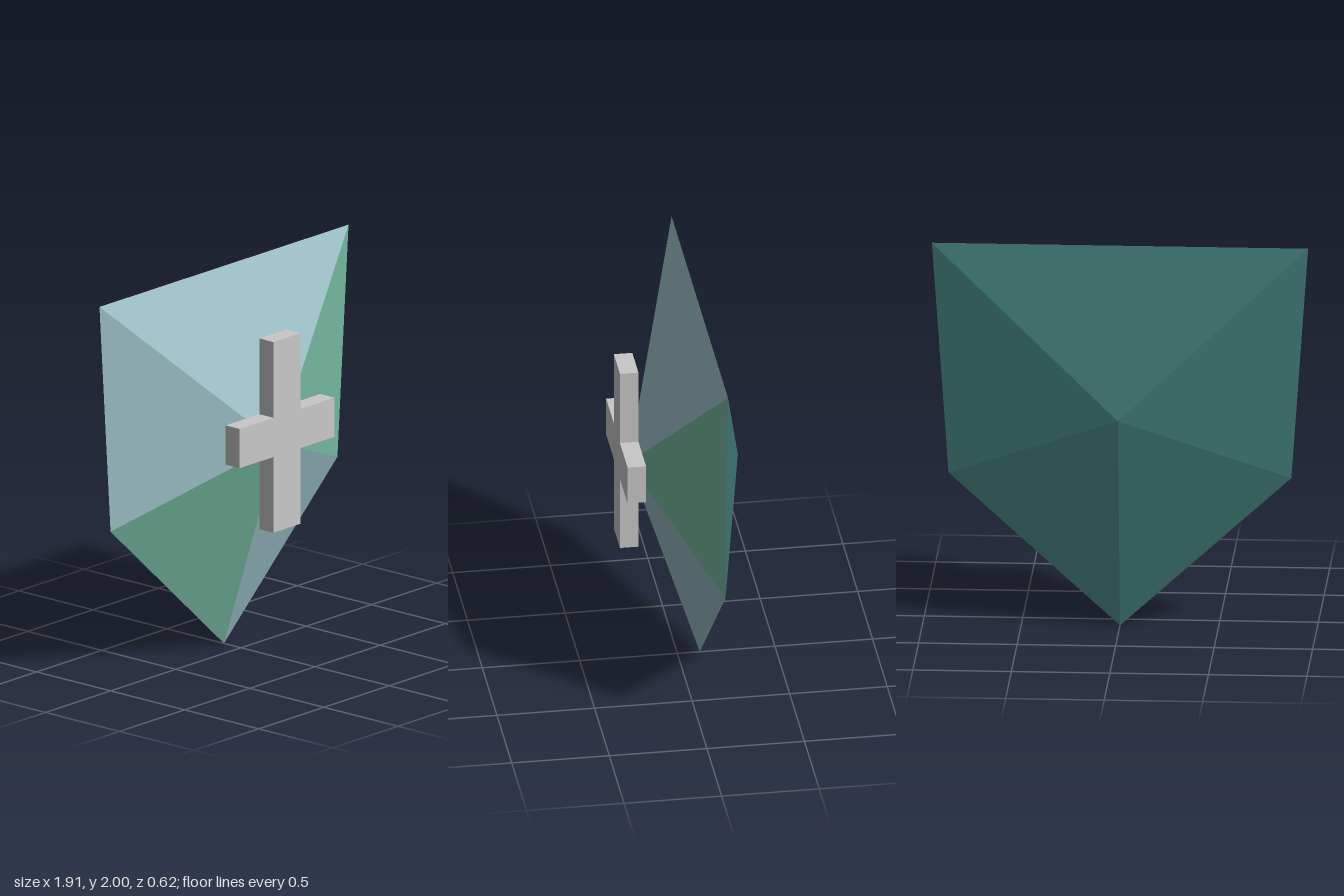
import * as THREE from 'three';

const material = (name, color) => {
  const m = new THREE.MeshStandardMaterial({ color });
  m.name = name;
  return m;
};

// Rim of the shield, counter-clockwise seen from the front
const RIM = [[-0.955, 2], [-0.87, 0.79], [0, 0], [0.87, 0.79], [0.955, 2]];
const RIM_Z = -0.115;
const APEX_Y = 1.13;

// Triangular facet from one rim edge to a central apex
function facet(name, index, apexZ, mat) {
  const a = [...RIM[index], RIM_Z];
  const b = [...RIM[(index + 1) % RIM.length], RIM_Z];
  const apex = [0, APEX_Y, apexZ];
  const corners = apexZ > RIM_Z ? [a, b, apex] : [b, a, apex];
  const geometry = new THREE.BufferGeometry();
  geometry.setAttribute('position', new THREE.Float32BufferAttribute(corners.flat(), 3));
  geometry.computeVertexNormals();
  const mesh = new THREE.Mesh(geometry, mat);
  mesh.name = name;
  return mesh;
}

export function createModel() {
  const paleBlue = material('paleBlue', 0x9bc0c6);
  const green = material('green', 0x76bca2);
  const darkTeal = material('darkTeal', 0x3f7a76);
  const lightGrey = material('lightGrey', 0xc8c8c8);

  const model = new THREE.Group();
  model.name = 'shield';

  // Faceted front and back of the shield
  const front = new THREE.Group();
  front.name = 'shieldFront';
  const back = new THREE.Group();
  back.name = 'shieldBack';
  const names = ['RightFacet', 'LowerRightFacet', 'LowerLeftFacet', 'LeftFacet', 'TopFacet'];
  const frontColors = [paleBlue, green, paleBlue, green, paleBlue];
  names.forEach((name, i) => {
    front.add(facet('front' + name, i, 0.25, frontColors[i]));
    back.add(facet('back' + name, i, -0.31, darkTeal));
  });
  model.add(front, back);

  // Raised cross emblem
  const w = 0.104, arm = 0.363, tall = 0.505;
  const outline = [
    [-w, -tall], [w, -tall], [w, -w], [arm, -w], [arm, w], [w, w],
    [w, tall], [-w, tall], [-w, w], [-arm, w], [-arm, -w], [-w, -w],
  ].map(([x, y]) => new THREE.Vector2(x, y));
  const cross = new THREE.Mesh(
    new THREE.ExtrudeGeometry(new THREE.Shape(outline), { depth: 0.095, bevelEnabled: false }),
    lightGrey
  );
  cross.name = 'cross';
  cross.position.set(0, 1.2, 0.215);
  model.add(cross);

  return model;
}
